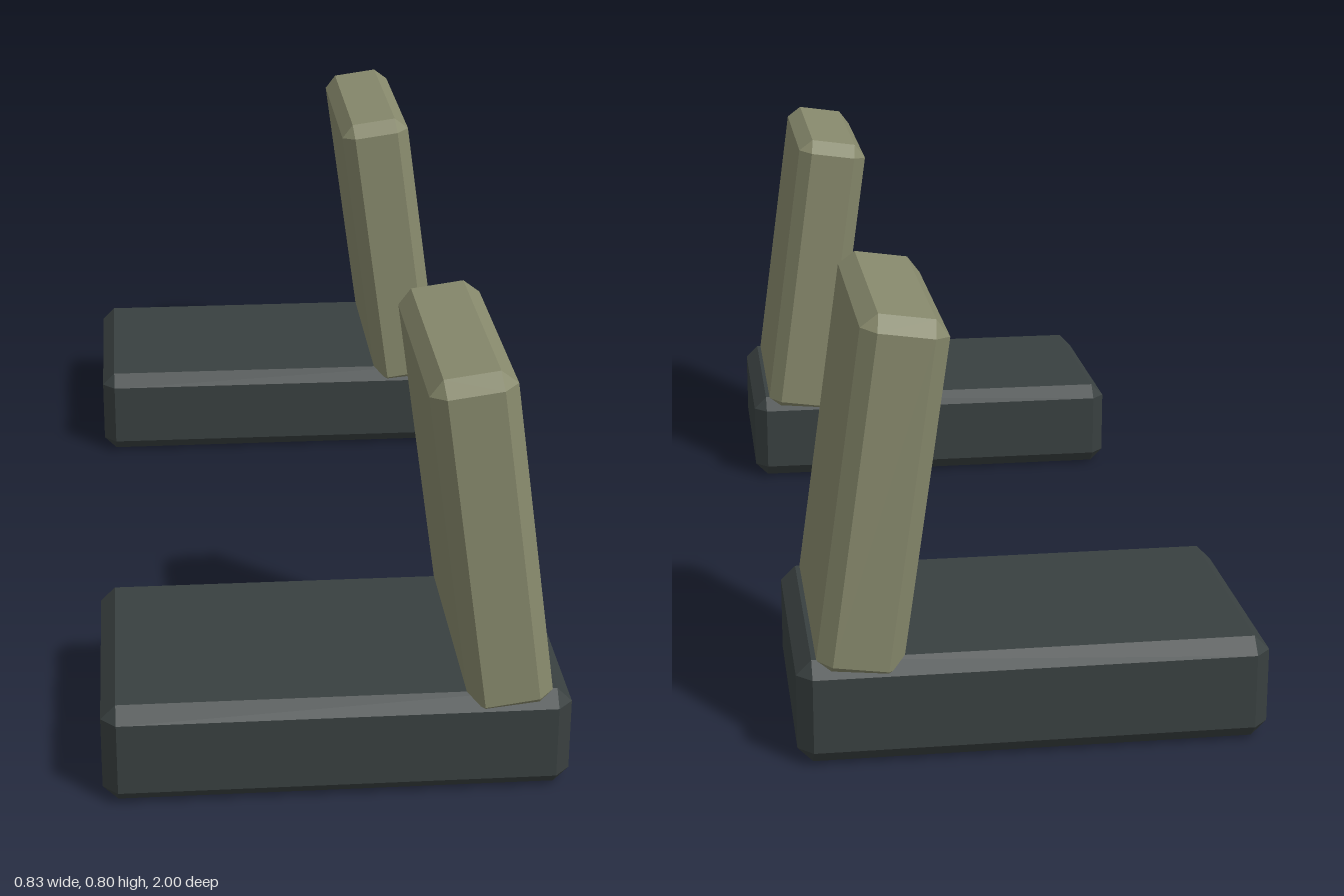
import * as THREE from 'three';
import { ConvexGeometry } from 'three/addons/geometries/ConvexGeometry.js';

// Box with flat chamfers on every edge and corner
function chamferBox(w, h, d, c) {
  const half = [w / 2, h / 2, d / 2];
  const points = [];
  for (const sx of [-1, 1]) for (const sy of [-1, 1]) for (const sz of [-1, 1]) {
    for (let axis = 0; axis < 3; axis++) {
      // Only one coordinate reaches the full extent at each chamfer point
      const p = half.map((v, i) => (i === axis ? v : v - c));
      points.push(new THREE.Vector3(sx * p[0], sy * p[1], sz * p[2]));
    }
  }
  return new ConvexGeometry(points);
}

export function createModel() {
  const model = new THREE.Group();
  model.name = 'seatPair';

  const baseMaterial = new THREE.MeshStandardMaterial({ color: 0x394040, flatShading: true });
  const backMaterial = new THREE.MeshStandardMaterial({ color: 0x87896c, flatShading: true });
  const baseGeometry = chamferBox(0.83, 0.19, 0.49, 0.027);
  const backGeometry = chamferBox(0.151, 0.646, 0.49, 0.027);

  // Two identical seats, one at the front and one at the back
  for (const [name, z] of [['frontSeat', 0.755], ['rearSeat', -0.755]]) {
    const seat = new THREE.Group();
    seat.name = name;
    seat.position.z = z;

    const cushion = new THREE.Mesh(baseGeometry, baseMaterial);
    cushion.name = 'cushion';
    cushion.position.y = 0.095;

    // Leaning backrest, sunk slightly into the cushion
    const backrest = new THREE.Mesh(backGeometry, backMaterial);
    backrest.name = 'backrest';
    backrest.position.set(0.264, 0.471, 0);
    backrest.rotation.z = THREE.MathUtils.degToRad(8);

    seat.add(cushion, backrest);
    model.add(seat);
  }
  return model;
}
